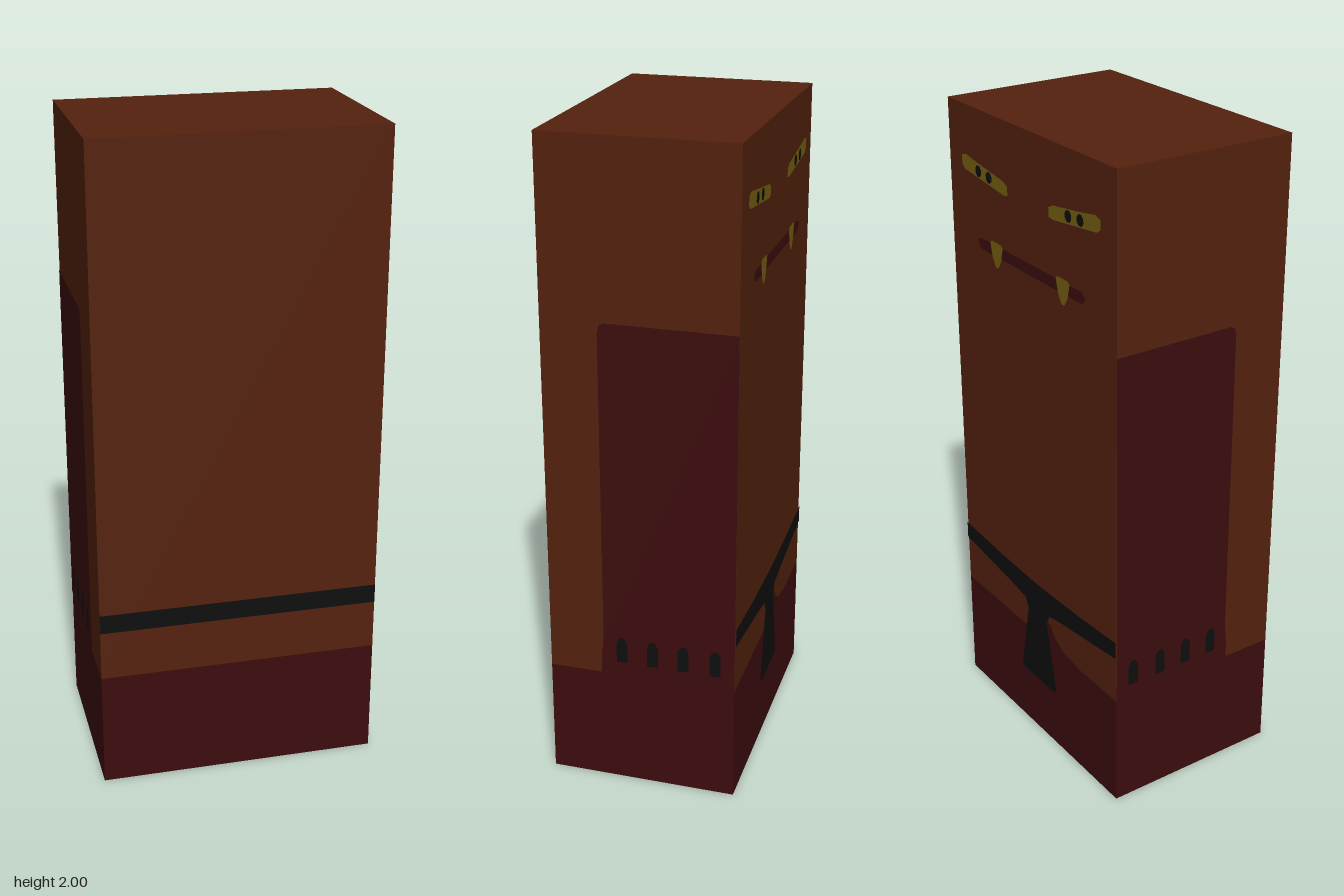
import * as THREE from 'three';

const W = 0.86, H = 2, D = 0.574, WAIST = 0.365;

function mat(name, color) {
  const m = new THREE.MeshStandardMaterial({ color });
  m.name = name;
  return m;
}

export function createModel() {
  const brown = mat('brown', 0x55220e);
  const maroon = mat('maroon', 0x3d0d0e);
  const black = mat('black', 0x0e0f0e);
  const yellow = mat('yellow', 0x786213);

  const model = new THREE.Group();
  model.name = 'blockFigure';

  // Body block: trousers below, torso and head above
  const block = (name, y0, y1, material) => {
    const mesh = new THREE.Mesh(new THREE.BoxGeometry(W, y1 - y0, D), material);
    mesh.name = name;
    mesh.position.y = (y0 + y1) / 2;
    model.add(mesh);
  };
  block('trousers', 0, WAIST, maroon);
  block('torso', WAIST, H, brown);

  // One group per painted side; local x runs to the viewer's right, local z outwards
  const side = (name, angle, dist) => {
    const g = new THREE.Group();
    g.name = name;
    g.rotation.y = angle;
    g.position.set(Math.sin(angle) * dist, 0, Math.cos(angle) * dist);
    model.add(g);
    return g;
  };
  const front = side('frontSide', 0, D / 2);
  const back = side('faceSide', Math.PI, D / 2);
  const left = side('leftSide', Math.PI / 2, W / 2);
  const right = side('rightSide', -Math.PI / 2, W / 2);

  // Flat painted shape; s = -1 mirrors it, layer lifts it clear of what lies below
  const paint = (parent, name, material, pts, layer = 1, s = 1) => {
    const shape = new THREE.Shape(pts.map(([x, y]) => new THREE.Vector2(s * x, y)));
    const mesh = new THREE.Mesh(new THREE.ShapeGeometry(shape), material);
    mesh.name = name;
    mesh.position.z = 0.0015 * layer;
    parent.add(mesh);
  };

  // Front belt
  paint(front, 'belt', black, [[-0.43, 0.52], [0.43, 0.52], [0.43, 0.58], [-0.43, 0.58]]);

  // Arms with finger gaps on both sides
  for (const [g, s] of [[left, 1], [right, -1]]) {
    paint(g, 'arm', maroon, [
      [-0.125, WAIST], [0.287, WAIST], [0.287, 1.48], [-0.1, 1.48],
      [-0.113, 1.472], [-0.118, 1.45], [-0.118, 0.48], [-0.125, 0.42],
    ], 1, s);
    for (const z of [-0.06, 0.035, 0.13, 0.228]) {
      paint(g, 'fingerGap', black, [
        [z - 0.017, 0.41], [z + 0.017, 0.41], [z + 0.017, 0.475],
        [z + 0.008, 0.493], [z - 0.008, 0.493], [z - 0.017, 0.475],
      ], 2, s);
    }
  }

  // Back belt, sagging to a flared hanging flap
  paint(back, 'belt', black, [
    [-0.43, 0.575], [-0.22, 0.562], [0, 0.555], [0.22, 0.562], [0.43, 0.575],
    [0.43, 0.52], [0.13, 0.483], [0.07, 0.472], [0.053, 0.44], [0.1, 0.21], [0.09, 0.195],
    [-0.09, 0.195], [-0.1, 0.21], [-0.053, 0.44], [-0.07, 0.472], [-0.13, 0.483], [-0.43, 0.52],
  ], 2);

  // Raised trouser fold beside the flap
  paint(back, 'trouserFold', maroon, [
    [0, WAIST], [0.25, WAIST], [0.14, 0.382], [0.1, 0.405], [0.07, 0.442], [0, 0.45],
  ]);

  // Mouth
  paint(back, 'mouth', maroon, [
    [-0.28, 1.592], [-0.265, 1.582], [0.265, 1.582], [0.28, 1.592],
    [0.28, 1.608], [0.265, 1.617], [-0.265, 1.617], [-0.28, 1.608],
  ]);

  // Slanted eyes, pupils and fangs, mirrored
  for (const s of [1, -1]) {
    paint(back, 'eye', yellow, [
      [0.107, 1.785], [0.13, 1.782], [0.34, 1.806], [0.358, 1.818],
      [0.358, 1.845], [0.335, 1.853], [0.27, 1.842], [0.13, 1.823], [0.107, 1.812],
    ], 1, s);
    for (const x of [0.206, 0.264]) {
      const pts = [];
      for (let i = 0; i < 8; i++) {
        const a = (i + 0.5) * Math.PI / 4;
        pts.push([x + 0.017 * Math.cos(a), 1.816 + (x - 0.235) * 0.08 + 0.018 * Math.sin(a)]);
      }
      paint(back, 'pupil', black, pts, 2, s);
    }
    paint(back, 'fang', yellow, [
      [0.14, 1.62], [0.15, 1.627], [0.2, 1.627], [0.21, 1.62],
      [0.198, 1.575], [0.182, 1.55], [0.168, 1.55], [0.152, 1.575],
    ], 2, s);
  }

  return model;
}
